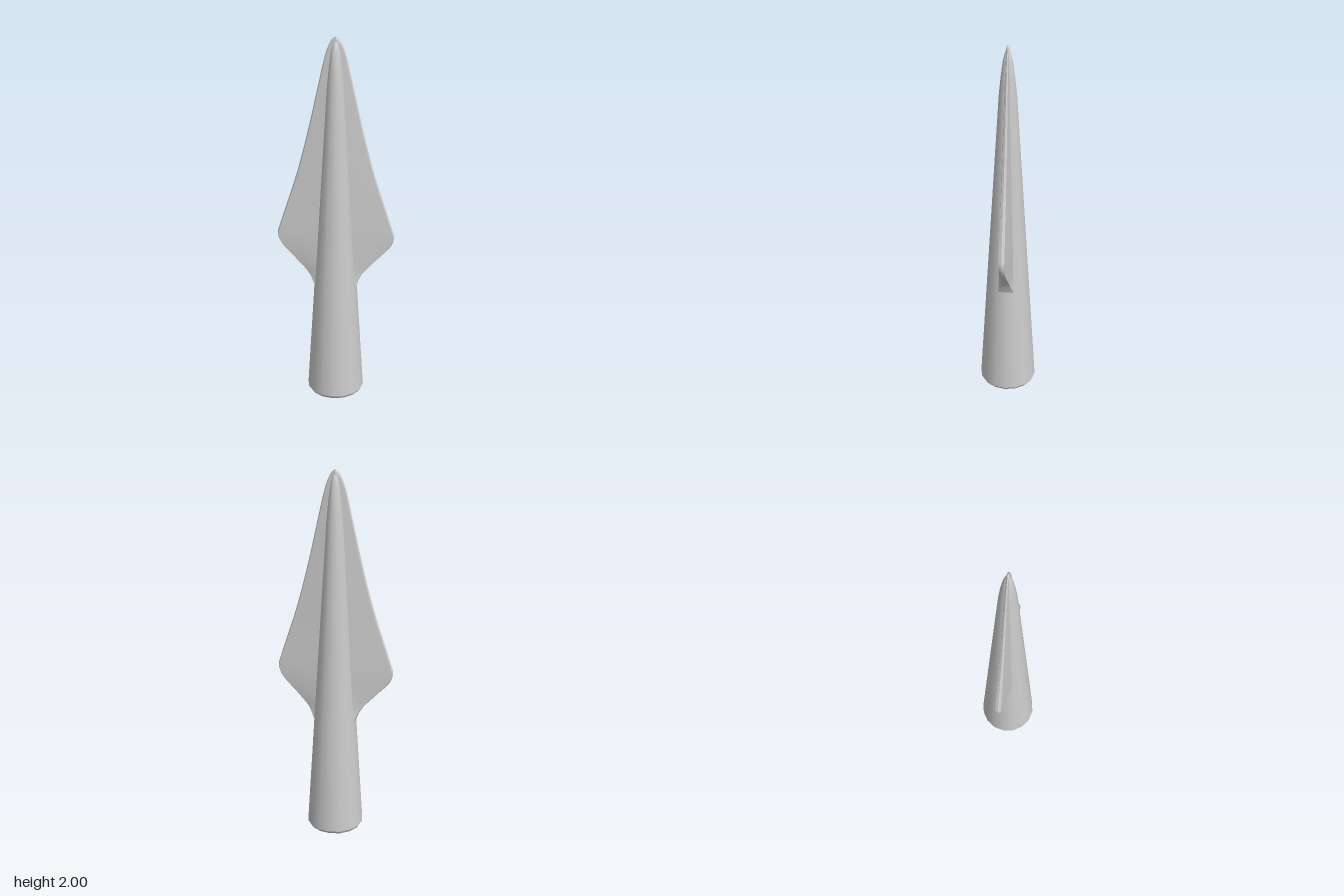
import * as THREE from 'three';
import { toCreasedNormals } from 'three/addons/utils/BufferGeometryUtils.js';

const material = new THREE.MeshStandardMaterial({ color: 0xcccccc });

// Outer radius of the tapering socket up to its rounded nose
const NOSE = [[0.046, 1.74], [0.036, 1.84], [0.025, 1.92], [0.014, 1.965], [0, 1.985]];
function socketRadius(y) {
  if (y <= 1.74) return 0.158 - 0.0644 * y;
  for (let i = 1; i < NOSE.length; i++) {
    const [r0, y0] = NOSE[i - 1], [r1, y1] = NOSE[i];
    if (y <= y1) return THREE.MathUtils.mapLinear(y, y0, y1, r0, r1);
  }
  return 0;
}

// Hollow 16-sided socket: cavity, bevelled rim, outer wall and nose in one profile
function createSocket() {
  const profile = [
    [0, 1.0], [0.066, 1.0], [0.128, 0.012], [0.134, 0], [0.147, 0], [0.157, 0.016],
    [socketRadius(0.64), 0.64], [socketRadius(1.2), 1.2], ...NOSE,
  ].map(([r, y]) => new THREE.Vector2(r, y));
  const mesh = new THREE.Mesh(toCreasedNormals(new THREE.LatheGeometry(profile, 16), 0.6), material);
  mesh.name = 'socket';
  return mesh;
}

// One blade wing, lofted upward from sections that thin towards a bevelled edge
function createWingGeometry() {
  // edge outline: x, y, half thickness of the edge
  const edge = new THREE.CatmullRomCurve3([
    [0.112, 0.64, 0.044], [0.145, 0.71, 0.026], [0.21, 0.785, 0.018], [0.285, 0.865, 0.015],
    [0.306, 0.9, 0.015], [0.313, 0.94, 0.015], [0.301, 0.985, 0.015], [0.27, 1.08, 0.014],
    [0.205, 1.28, 0.012], [0.142, 1.52, 0.01], [0.092, 1.74, 0.008], [0.055, 1.9, 0.006],
    [0.038, 1.95, 0.005], [0.018, 1.987, 0.004], [0, 2, 0.003],
  ].map((p) => new THREE.Vector3(...p)), false, 'centripetal');

  const positions = [], index = [], steps = 56, ring = 5;
  for (let i = 0; i <= steps; i++) {
    const { x, y, z: e } = edge.getPoint(i / steps);
    const xe = Math.max(x, 0);
    const bevel = Math.min(0.006, xe / 2);
    const root = Math.max(e, THREE.MathUtils.mapLinear(y, 0.64, 1.95, 0.045, 0.009));
    // the root is buried just inside the socket wall
    const seam = Math.sqrt(Math.max(socketRadius(y) ** 2 - root ** 2, 0));
    const xi = THREE.MathUtils.clamp(seam - 0.012, 0, xe - bevel);
    positions.push(xi, y, -root, xe - bevel, y, -e, xe, y, 0, xe - bevel, y, e, xi, y, root);
    if (i === 0) continue;
    for (let j = 0; j < ring - 1; j++) {
      const a = (i - 1) * ring + j, d = a + ring;
      index.push(a, d, d + 1, a, d + 1, a + 1);
    }
  }
  // underside of the wing root
  for (let j = 1; j < ring - 1; j++) index.push(0, j, j + 1);

  const geometry = new THREE.BufferGeometry();
  geometry.setAttribute('position', new THREE.Float32BufferAttribute(positions, 3));
  geometry.setIndex(index);
  return toCreasedNormals(geometry, 0.5);
}

export function createModel() {
  const model = new THREE.Group();
  model.name = 'spearhead';
  model.add(createSocket());

  const wing = createWingGeometry();
  [['leftBladeWing', 0], ['rightBladeWing', Math.PI]].forEach(([name, turn]) => {
    const mesh = new THREE.Mesh(wing, material);
    mesh.name = name;
    mesh.rotation.y = turn;
    model.add(mesh);
  });
  return model;
}
